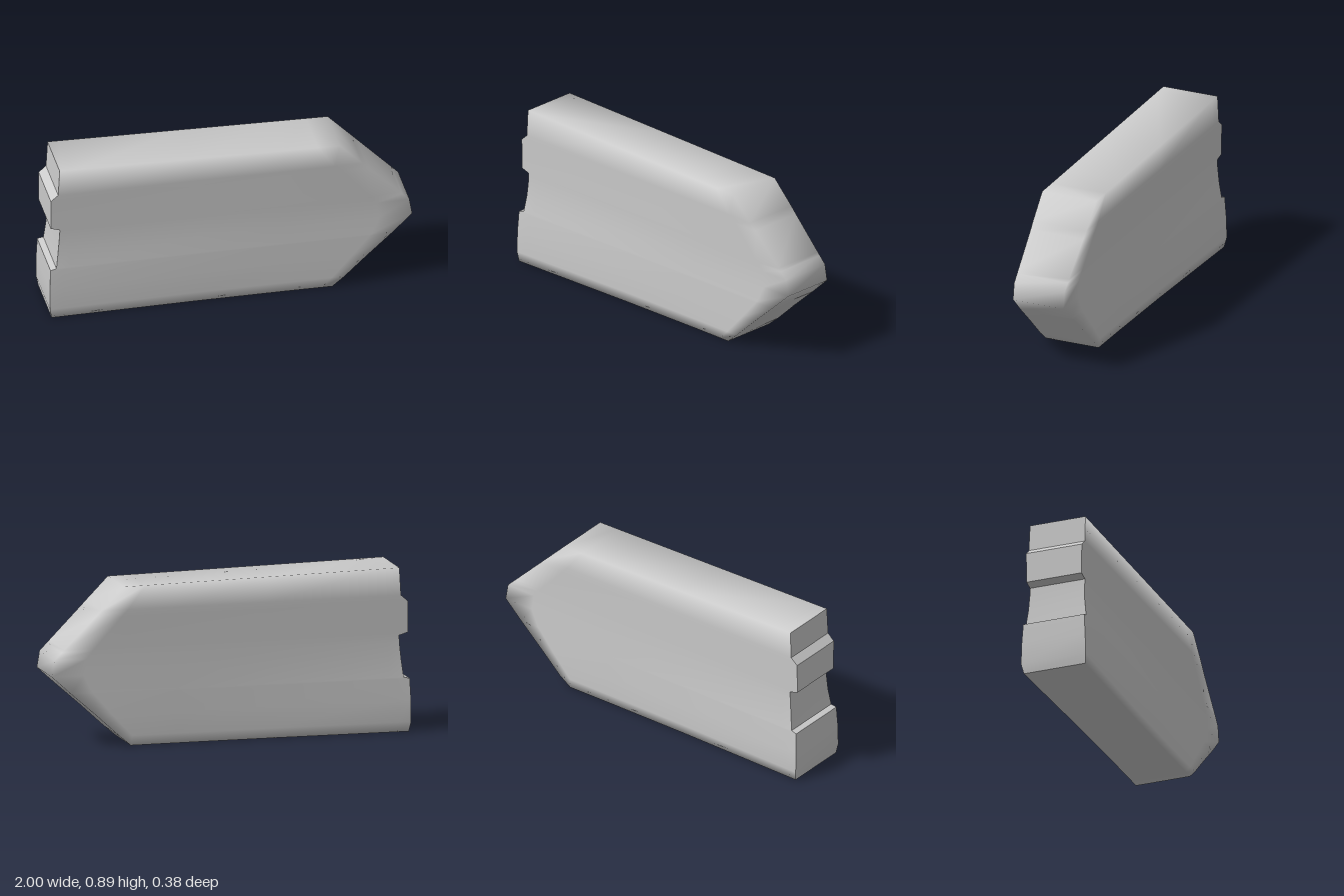
import * as THREE from 'three';
import { toCreasedNormals } from 'three/addons/utils/BufferGeometryUtils.js';

// Horizontal slices from bottom to top:
// [y, left x, right x, right inset, front z, back z, extra thickness at left end]
const ROWS = [
  [0.005, -0.985, 0.56, 0.06, 0.163, -0.150, 0.022],
  [0.06, -0.995, 0.625, 0.07, 0.166, -0.158, 0.026],
  [0.18, -0.995, 0.755, 0.09, 0.166, -0.158, 0.022],
  [0.295, -0.99, 0.885, 0.12, 0.165, -0.157, 0.016],
  [0.303, -0.957, 0.894, 0.12, 0.165, -0.157, 0.014],
  [0.40, -0.945, 1.0, 0.18, 0.160, -0.155, 0.006],
  [0.49, -0.937, 0.985, 0.18, 0.160, -0.154, 0.002],
  [0.53, -0.935, 0.945, 0.17, 0.161, -0.154, 0.002],
  [0.545, -0.985, 0.93, 0.17, 0.161, -0.154, 0.002],
  [0.715, -0.985, 0.76, 0.15, 0.163, -0.156, 0.002],
  [0.75, -0.945, 0.725, 0.15, 0.165, -0.157, 0.002],
  [0.90, -0.937, 0.6, 0.12, 0.166, -0.155, 0],
];
const COLS = 6;
const LOOP = COLS * 2;

// Closed loop per slice: along the front to the right, then back along the rear
function boardPositions() {
  const pos = [];
  ROWS.forEach(([y, left, right, inset, zf, zb, extra], i) => {
    const xs = [left, left + 0.07, -0.2, 0.3, right - inset, right];
    const point = (x, z, sign) => {
      const k = Math.min(1, Math.max(0, -x));
      const slope = i === ROWS.length - 1 ? 0.016 * (x + 0.94) : 0;
      const thin = x > 0.6 ? 0.02 * (x - 0.6) : 0;
      pos.push(x, y - slope, z + sign * (extra * k - thin));
    };
    xs.forEach((x) => point(x, zf, 1));
    [...xs].reverse().forEach((x) => point(x, zb, -1));
  });
  return pos;
}

function geometryFrom(pos, index) {
  const g = new THREE.BufferGeometry();
  g.setAttribute('position', new THREE.Float32BufferAttribute(pos, 3));
  g.setIndex(index);
  return g;
}

export function createModel() {
  const group = new THREE.Group();
  group.name = 'arrowBoard';
  const material = new THREE.MeshStandardMaterial({ color: 0xcccccc });
  const pos = boardPositions();
  const body = [], end = [];
  const quad = (list, a, b, c, d) => list.push(a, b, c, a, c, d);

  // Front, pointed tip and back; the last side of each loop is the notched end
  for (let i = 0; i < ROWS.length - 1; i++) {
    const lo = i * LOOP, hi = lo + LOOP;
    for (let j = 0; j < LOOP; j++) {
      const n = (j + 1) % LOOP;
      quad(n === 0 ? end : body, lo + j, lo + n, hi + n, hi + j);
    }
  }

  // Top and bottom edges
  const top = (ROWS.length - 1) * LOOP;
  for (let j = 0; j < COLS - 1; j++) {
    const back = LOOP - 1 - j;
    quad(body, top + j, top + j + 1, top + back - 1, top + back);
    quad(body, back, back - 1, j + 1, j);
  }

  // Soft-edged plank
  const bodyGeometry = geometryFrom(pos, body);
  bodyGeometry.computeVertexNormals();
  const plank = new THREE.Mesh(bodyGeometry, material);
  plank.name = 'plank';

  // Broken, notched end with crisp steps
  const endGeometry = toCreasedNormals(geometryFrom(pos, end).toNonIndexed(), 0.5);
  const notchedEnd = new THREE.Mesh(endGeometry, material);
  notchedEnd.name = 'notchedEnd';

  group.add(plank, notchedEnd);
  return group;
}
